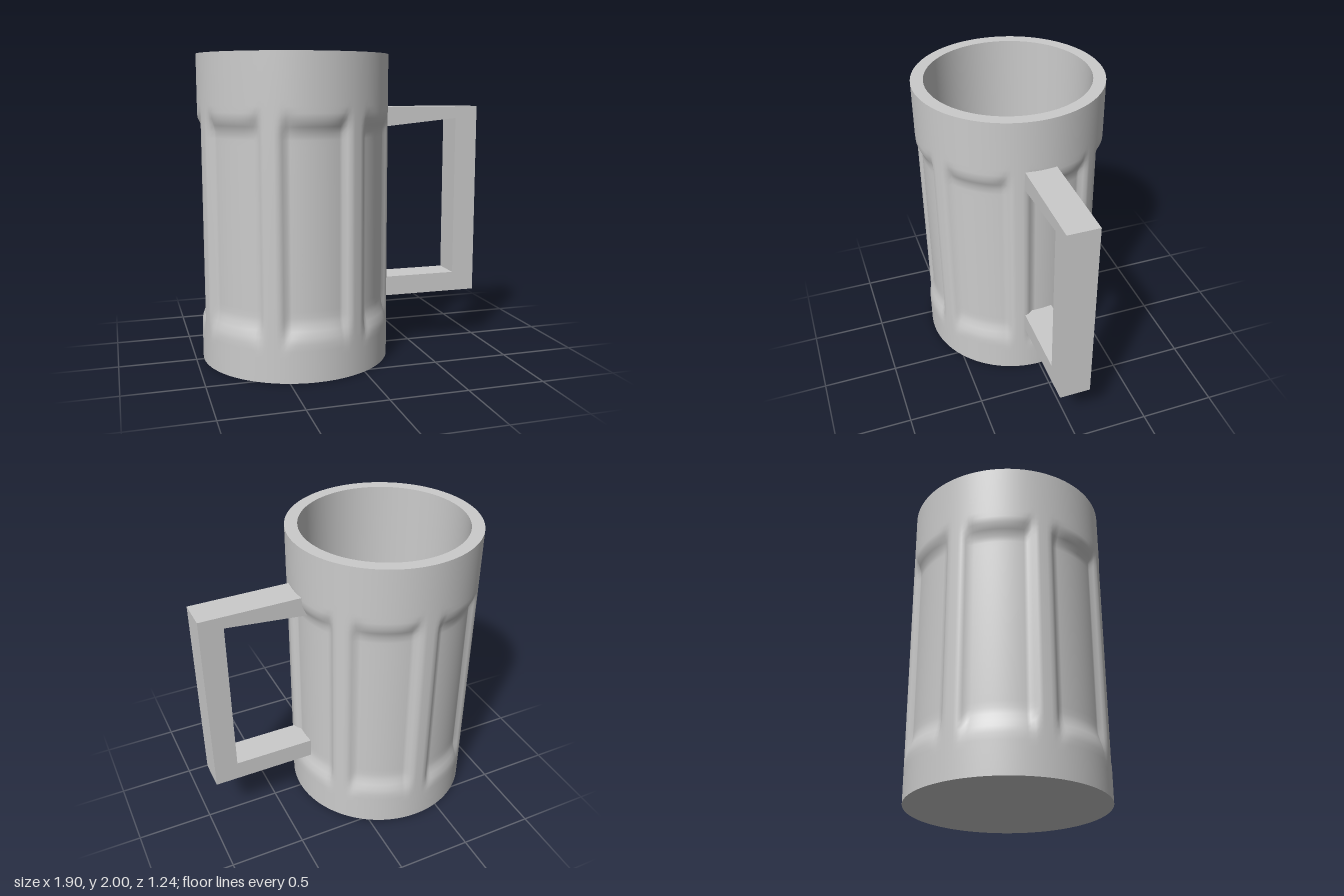
import * as THREE from 'three';
import { mergeVertices, toCreasedNormals } from 'three/addons/utils/BufferGeometryUtils.js';

const HEIGHT = 2, RADIUS = 0.622, INNER = 0.54, FLOOR = 0.12;
const CENTRE_X = -0.328;
const PANELS = 7, SEGMENTS = PANELS * 24;
const RECESS = 0.037;

const material = new THREE.MeshStandardMaterial({ color: 0xcccccc });

function addMesh(parent, name, geometry) {
  const mesh = new THREE.Mesh(geometry, material);
  mesh.name = name;
  parent.add(mesh);
}

// How far the outer wall is pressed in at an angle and height (0 on the ribs and bands)
function recess(angle, y) {
  const period = (Math.PI * 2) / PANELS;
  const offset = Math.abs(angle - Math.round(angle / period) * period);
  const t = offset / (period / 2);
  const across = 1 - THREE.MathUtils.smoothstep(t, 0.66, 0.82);
  const spread = 0.2 * t ** 4; // panel ends run on further beside the ribs
  const top = 1 - THREE.MathUtils.smoothstep(y, 1.51, 1.61 + spread);
  const bottom = THREE.MathUtils.smoothstep(y, 0.25 - spread, 0.39);
  return RECESS * across * top * bottom;
}

// Outer wall with seven sunken panels between upright ribs
function outerWall() {
  let geo = new THREE.CylinderGeometry(RADIUS, RADIUS, HEIGHT, SEGMENTS, 50, true);
  geo.translate(0, HEIGHT / 2, 0);
  const p = geo.attributes.position;
  for (let i = 0; i < p.count; i++) {
    const angle = Math.atan2(p.getX(i), p.getZ(i));
    const r = RADIUS - recess(angle, p.getY(i));
    p.setX(i, Math.sin(angle) * r);
    p.setZ(i, Math.cos(angle) * r);
  }
  geo.deleteAttribute('uv');
  geo.deleteAttribute('normal');
  geo = mergeVertices(geo);
  geo.computeVertexNormals();
  return geo;
}

// Rim, inner wall and floor in one turned profile
function innerWall() {
  const profile = [
    [RADIUS, HEIGHT], [INNER, HEIGHT], [INNER, FLOOR], [0, FLOOR],
  ].map(([x, y]) => new THREE.Vector2(x, y));
  return toCreasedNormals(new THREE.LatheGeometry(profile, SEGMENTS), 0.6);
}

// Square-cornered handle, its ends sunk into the wall
function handleGeometry() {
  const outline = [
    [0.23, 0.365], [0.947, 0.365], [0.947, 1.66], [0.23, 1.66],
    [0.23, 1.525], [0.79, 1.58], [0.79, 0.497], [0.23, 0.497],
  ].map(([x, y]) => new THREE.Vector2(x, y));
  const geo = new THREE.ExtrudeGeometry(new THREE.Shape(outline), { depth: 0.206, bevelEnabled: false });
  return geo.translate(0, 0, -0.103);
}

export function createModel() {
  const model = new THREE.Group();
  model.name = 'mug';

  const body = new THREE.Group();
  body.name = 'body';
  body.position.x = CENTRE_X;
  addMesh(body, 'panelledWall', outerWall());
  addMesh(body, 'rimAndInside', innerWall());
  addMesh(body, 'base', new THREE.CircleGeometry(RADIUS, SEGMENTS).rotateX(Math.PI / 2));
  model.add(body);

  addMesh(model, 'handle', handleGeometry());
  return model;
}
